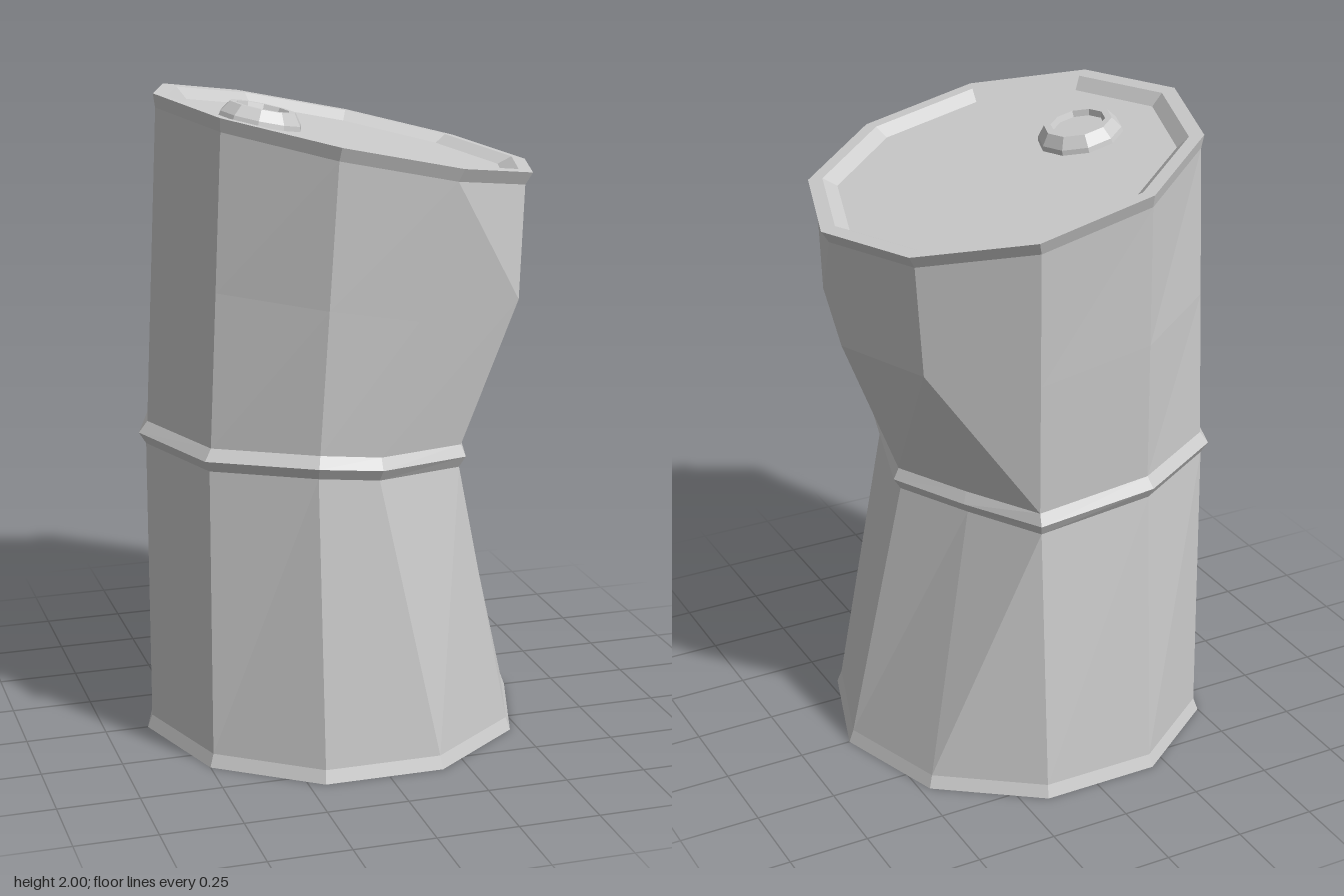
import * as THREE from 'three';

const SIDES = 10;
const TILT = 0.213; // slope of the slumped lid
const material = new THREE.MeshStandardMaterial({ color: 0xcccccc, flatShading: true });

// Decagon ring lying flat around (cx, y)
function flatRing(r, y, cx = -0.015) {
  return Array.from({ length: SIDES }, (_, i) => {
    const a = (i / SIDES) * Math.PI * 2;
    return new THREE.Vector3(cx + r * Math.cos(a), y, r * Math.sin(a));
  });
}

// Decagon ring in the tilted lid plane: h above the rim, u along the slope
function lidRing(r, h, u = 0) {
  return flatRing(r, h, u).map((p) =>
    p.applyAxisAngle(new THREE.Vector3(0, 0, 1), -TILT).add(new THREE.Vector3(0.03, 1.875, 0)));
}

// Skin a list of rings; flip(level, side) picks the other diagonal of a quad
function loft(name, rings, flip = () => false) {
  const pos = [];
  const tri = (...pts) => {
    if (new THREE.Triangle(...pts).getArea() > 1e-8) pts.forEach((p) => pos.push(p.x, p.y, p.z));
  };
  for (let k = 0; k < rings.length - 1; k++) {
    for (let i = 0; i < SIDES; i++) {
      const j = (i + 1) % SIDES;
      const a = rings[k][i], a1 = rings[k][j], b = rings[k + 1][i], b1 = rings[k + 1][j];
      if (flip(k, i)) { tri(a, b, b1); tri(a, b1, a1); }
      else { tri(a, b, a1); tri(b, b1, a1); }
    }
  }
  const geo = new THREE.BufferGeometry();
  geo.setAttribute('position', new THREE.Float32BufferAttribute(pos, 3));
  geo.computeVertexNormals();
  const mesh = new THREE.Mesh(geo, material);
  mesh.name = name;
  return mesh;
}

export function createModel() {
  const group = new THREE.Group();

  // Crumpled waist, from the +x corner round through +z
  const waistLow = [
    [0.385, 0.865, 0], [0.28, 0.89, 0.37], [-0.01, 0.91, 0.49], [-0.2, 0.935, 0.5], [-0.485, 0.935, 0.335],
    [-0.6, 0.935, 0], [-0.485, 0.935, -0.335], [-0.2, 0.925, -0.5], [0.16, 0.885, -0.495], [0.28, 0.875, -0.25],
  ].map((p) => new THREE.Vector3(...p));
  const waistHigh = waistLow.map((p) => new THREE.Vector3(p.x + 0.005, p.y + 0.07, p.z));
  const rib = waistLow.map((p) => {
    const out = new THREE.Vector3(p.x + 0.1, 0, p.z).setLength(0.022);
    return p.clone().add(out).setY(p.y + 0.035);
  });

  // Shoulder with three corners bulging out above the dent
  const wallTop = lidRing(0.585, -0.04);
  const shoulder = waistHigh.map((p, i) => p.clone().lerp(wallTop[i], 0.5));
  shoulder[0].set(0.565, 1.38, 0);
  shoulder[1].set(0.455, 1.4, 0.385);
  shoulder[9].set(0.455, 1.39, -0.33);

  // Recessed base and its rim
  group.add(loft('base', [
    flatRing(0, 0.03), flatRing(0.515, 0.03), flatRing(0.555, 0), flatRing(0.6, 0), flatRing(0.585, 0.04),
  ]));
  group.add(loft('lowerWall', [flatRing(0.585, 0.04), waistLow]));
  group.add(loft('middleRib', [waistLow, rib, waistHigh]));
  group.add(loft('upperWall', [waistHigh, shoulder, wallTop],
    (k, i) => (k === 1 && i === 1) || (k === 0 && i === 8)));

  // Tilted rim and sunken lid
  group.add(loft('lid', [
    wallTop, lidRing(0.6, 0), lidRing(0.555, 0), lidRing(0.515, -0.03), lidRing(0, -0.03),
  ]));

  // Filler cap with a shallow hollow
  const u = -0.262;
  group.add(loft('fillerCap', [
    lidRing(0.13, -0.03, u), lidRing(0.127, -0.015, u), lidRing(0.103, 0.018, u),
    lidRing(0.083, 0.018, u), lidRing(0.077, 0, u), lidRing(0, 0, u),
  ]));
  return group;
}
